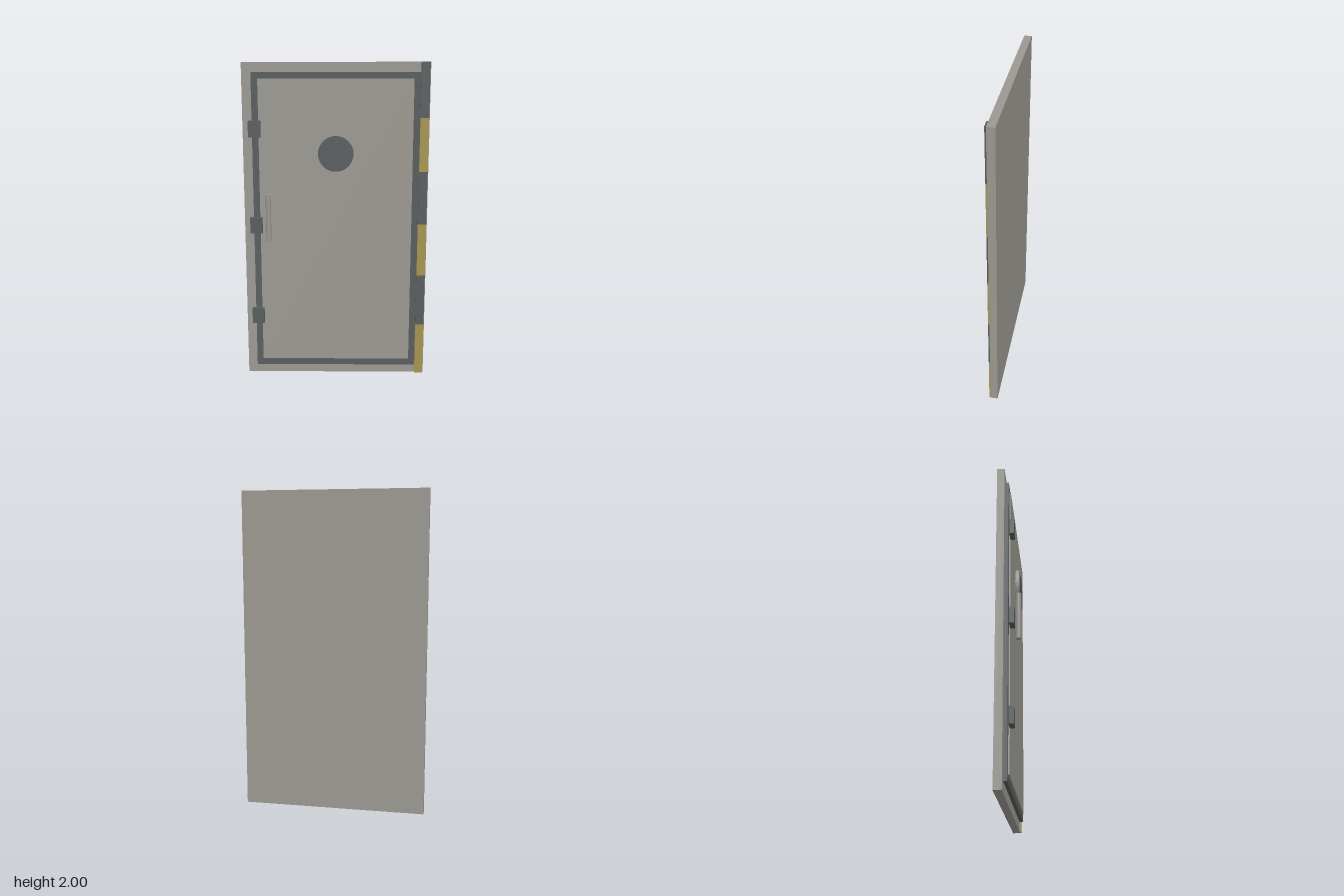
import * as THREE from 'three';

export function createModel() {
  const door = new THREE.Group();
  door.name = 'door';
  const material = (name, color) => {
    const m = new THREE.MeshStandardMaterial({ color });
    m.name = name;
    return m;
  };
  const grey = material('warm grey paint', 0x9b9891);
  const dark = material('dark steel', 0x585d5d);
  const yellow = material('hazard yellow', 0xa69450);

  const add = (name, geometry, mat, x, y, z) => {
    const mesh = new THREE.Mesh(geometry, mat);
    mesh.name = name;
    mesh.position.set(x, y, z);
    door.add(mesh);
    return mesh;
  };
  // Box given by its limits on each axis
  const box = (name, mat, [x0, x1], [y0, y1], [z0, z1]) =>
    add(name, new THREE.BoxGeometry(x1 - x0, y1 - y0, z1 - z0), mat,
      (x0 + x1) / 2, (y0 + y1) / 2, (z0 + z1) / 2);

  // Wall slab, dark surround and raised door leaf
  box('slab', grey, [-0.575, 0.575], [0, 2], [-0.067, -0.021]);
  box('surround', dark, [-0.515, 0.515], [0.06, 1.94], [-0.021, 0]);
  box('leaf', grey, [-0.474, 0.474], [0.105, 1.9], [0, 0.008]);

  // Round porthole: rim with a dark pane on its face
  const disc = (name, mat, radius, z0, z1) => {
    const mesh = add(name, new THREE.CylinderGeometry(radius, radius, z1 - z0, 48), mat,
      0, 1.45, (z0 + z1) / 2);
    mesh.rotation.x = Math.PI / 2;
  };
  disc('portholeRim', grey, 0.147, 0.008, 0.031);
  disc('portholePane', dark, 0.109, 0.031, 0.035);

  // Hinges down the edge
  for (const y of [0.407, 1, 1.6]) {
    box('hinge', dark, [-0.535, -0.46], [y - 0.05, y + 0.05], [0.006, 0.035]);
  }

  // Upright handle bar
  add('handle', new THREE.CylinderGeometry(0.016, 0.016, 0.295, 24), grey, -0.418, 1.053, 0.051);

  // Hazard strip of alternating blocks
  for (let i = 0; i < 6; i++) {
    box('hazardBlock', i % 2 ? dark : yellow, [0.517, 0.571], [i / 3, (i + 1) / 3], [-0.021, -0.012]);
  }
  return door;
}
